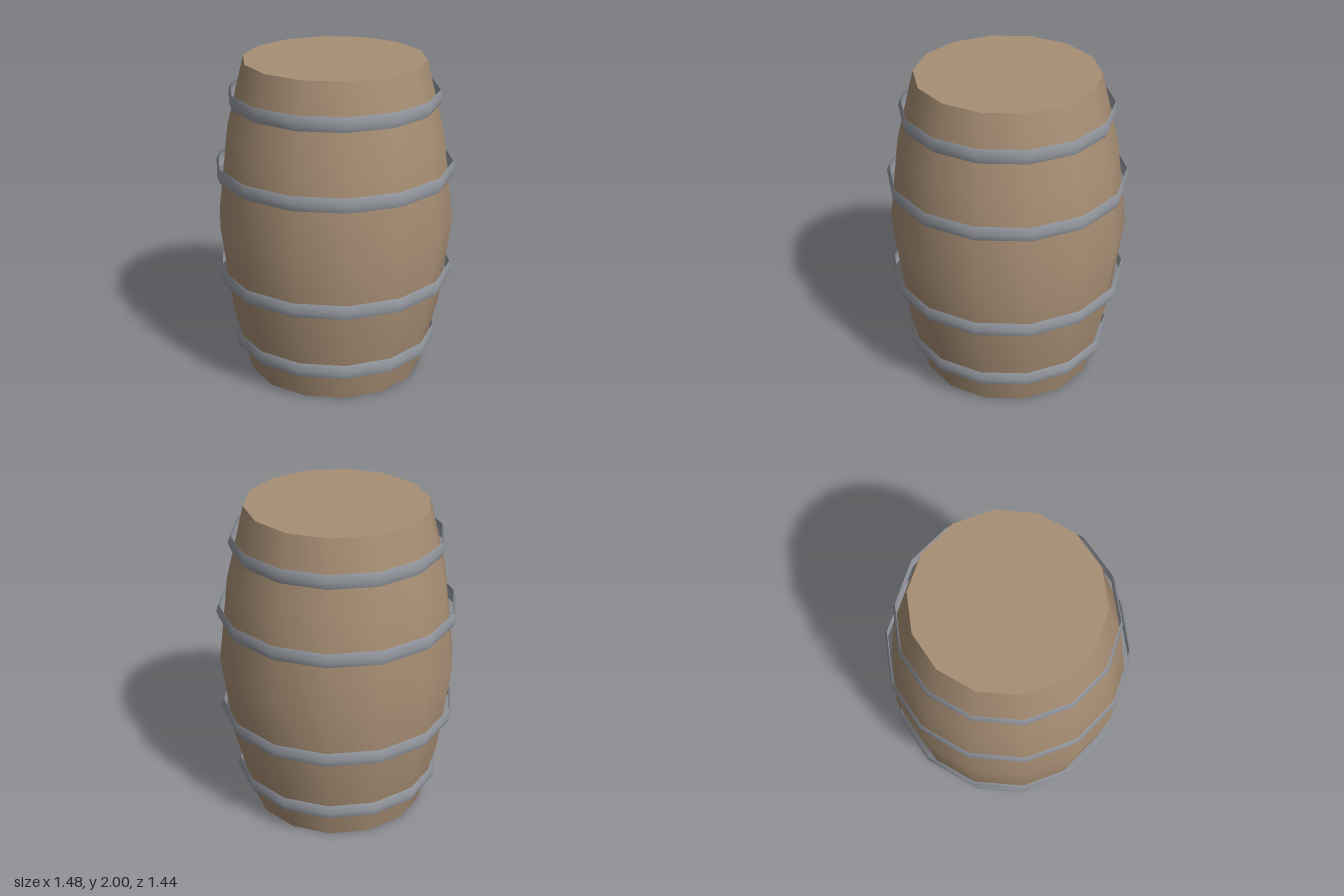
import * as THREE from 'three';

const SIDES = 14;
const wood = new THREE.MeshStandardMaterial({ name: 'wood', color: 0xa88f75 });
const metal = new THREE.MeshStandardMaterial({ name: 'hoop metal', color: 0x979ba2, side: THREE.DoubleSide });

// Turns a [radius, height] profile into a smooth 14-sided surface with a corner on +x
function turned(name, profile, material) {
  const points = profile.map(([r, y]) => new THREE.Vector2(r, y));
  const mesh = new THREE.Mesh(new THREE.LatheGeometry(points, SIDES, Math.PI / 2), material);
  mesh.name = name;
  return mesh;
}

function lid(name, y, tilt) {
  const mesh = new THREE.Mesh(new THREE.CircleGeometry(0.553, SIDES), wood);
  mesh.name = name;
  mesh.rotation.x = tilt;
  mesh.position.y = y;
  return mesh;
}

export function createModel() {
  const barrel = new THREE.Group();
  barrel.name = 'barrel';

  // Bulging wooden body with flat ends
  barrel.add(turned('staves', [
    [0.553, 0], [0.664, 0.445], [0.732, 1], [0.664, 1.555], [0.553, 2],
  ], wood));
  barrel.add(lid('topLid', 2, -Math.PI / 2), lid('bottomLid', 0, Math.PI / 2));

  // Thin ridged hoops standing slightly off the staves, mirrored about mid height
  for (const [name, r, offset] of [['outerHoop', 0.65, 0.776], ['innerHoop', 0.74, 0.333]]) {
    for (const side of [-1, 1]) {
      const hoop = turned(name, [[r - 0.015, -0.045], [r, 0], [r - 0.015, 0.045]], metal);
      hoop.position.y = 1 + side * offset;
      barrel.add(hoop);
    }
  }
  return barrel;
}
